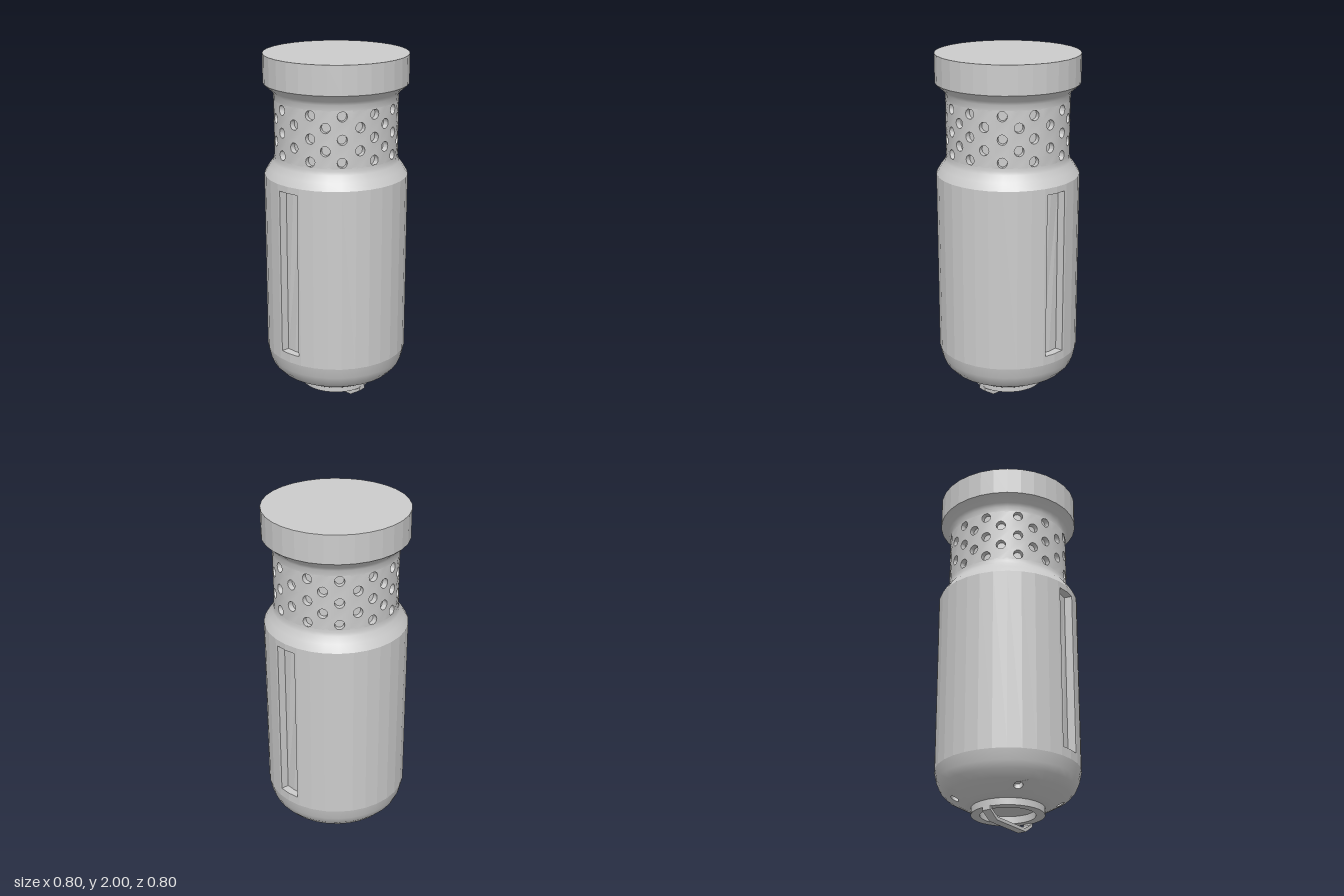
import * as THREE from 'three';
import { mergeGeometries, toCreasedNormals } from 'three/addons/utils/BufferGeometryUtils.js';

const SIDES = 32, STEP = (Math.PI * 2) / SIDES, DEG = Math.PI / 180;
const material = new THREE.MeshStandardMaterial({ color: 0xcccccc });
const V2 = (x, y) => new THREE.Vector2(x, y);

// Radius of a regular polygon with SIDES corners at angle a
const facet = (a) => {
  const t = ((a % STEP) + STEP) % STEP;
  return Math.cos(STEP / 2) / Math.cos(t - STEP / 2);
};

// Surface of revolution; a profile running upwards faces outwards
function lathe(profile, start = 0, count = SIDES) {
  const pts = profile.map(([r, y]) => V2(r, y));
  return new THREE.LatheGeometry(pts, count, start, count * STEP);
}

// Flat outline in (angle, height) with holes, bent round the axis
function wrap(outline, holes, place) {
  const shape = new THREE.Shape(outline);
  holes.forEach((h) => shape.holes.push(new THREE.Path(h)));
  const g = new THREE.ShapeGeometry(shape);
  const p = g.attributes.position;
  for (let i = 0; i < p.count; i++) {
    const v = place(p.getX(i), p.getY(i), 0);
    p.setXYZ(i, v.x, v.y, v.z);
  }
  return g;
}

// Side walls and floor of a pocket below a counter-clockwise outline
function pocket(outline, place) {
  const pos = [];
  const add = (...vs) => vs.forEach((v) => pos.push(v.x, v.y, v.z));
  outline.forEach((p, i) => {
    const q = outline[(i + 1) % outline.length];
    const a = place(p.x, p.y, 0), b = place(q.x, q.y, 0);
    const c = place(q.x, q.y, 1), d = place(p.x, p.y, 1);
    add(a, b, c, a, c, d);
  });
  THREE.ShapeUtils.triangulateShape(outline, []).forEach((f) =>
    add(...f.map((i) => place(outline[i].x, outline[i].y, 1))));
  const g = new THREE.BufferGeometry();
  g.setAttribute('position', new THREE.Float32BufferAttribute(pos, 3));
  return g;
}

const ellipse = (cx, cy, rx, ry, n = 12) => Array.from({ length: n }, (_, i) => {
  const t = (i / n) * Math.PI * 2;
  return V2(cx + rx * Math.cos(t), cy + ry * Math.sin(t));
});

const polar = (a, r, y) => new THREE.Vector3(r * Math.sin(a), y, r * Math.cos(a));

// Join the pieces of one part, with soft normals up to the crease angle
function part(name, pieces, crease) {
  const clean = pieces.map((g) => {
    const n = g.index ? g.toNonIndexed() : g;
    n.deleteAttribute('uv');
    n.deleteAttribute('normal');
    return n;
  });
  const mesh = new THREE.Mesh(toCreasedNormals(mergeGeometries(clean), crease), material);
  mesh.name = name;
  return mesh;
}

// Wall with a long shallow slot at front and back
function buildWall() {
  const R = 0.4, y0 = 0.3, y1 = 1.33, s0 = 0.352, s1 = 1.293, half = 0.158;
  const place = (a, y, inside) => polar(a, R * facet(a) - inside * 0.045, y);
  const pieces = [];
  for (const base of [0, Math.PI]) {
    pieces.push(lathe([[R, y0], [R, y1]], base + STEP, SIDES / 2 - 2));
    const rim = [[0, y0], [STEP, y0], [STEP, y1], [0, y1], [0, s1], [half, s1], [half, s0], [0, s0]];
    for (const side of [1, -1]) {
      pieces.push(wrap(rim.map(([a, y]) => V2(base + side * a, y)), [], place));
    }
    const slot = [[-half, s0], [0, s0], [half, s0], [half, s1], [0, s1], [-half, s1]];
    pieces.push(pocket(slot.map(([a, y]) => V2(base + a, y)), place));
  }
  return part('bodyWall', pieces, 0.15);
}

// Rounded bottom with foot ring and four drilled holes on the diagonals
function buildDome() {
  const lo = [0.235, 0.108], hi = [0.335, 0.162];
  const place = (a, y, inside) => {
    const t = (y - lo[1]) / (hi[1] - lo[1]);
    const r = (lo[0] + t * (hi[0] - lo[0])) * facet(a);
    return polar(a, r - inside * 0.016, y + inside * 0.03);
  };
  const pieces = [
    lathe([[0, 0.1], [0.15, 0.1], [0.15, 0.06], [0.2, 0.06], [0.2, 0.098], [0.222, 0.1], lo]),
    lathe([hi, [0.37, 0.2], [0.387, 0.24], [0.4, 0.3]]),
  ];
  for (let i = 0; i < 4; i++) {
    const a = (i + 0.5) * Math.PI / 2;
    pieces.push(lathe([lo, hi], a + STEP, 6));
    const cell = [V2(a - STEP, lo[1]), V2(a, lo[1]), V2(a + STEP, lo[1]),
      V2(a + STEP, hi[1]), V2(a, hi[1]), V2(a - STEP, hi[1])];
    const hole = ellipse(a, 0.137, 0.085, 0.012);
    pieces.push(wrap(cell, [hole], place), pocket(hole, place));
  }
  return part('roundedBottom', pieces, 0.5);
}

// Grip band: a grid of cells with staggered dimples
function buildNeck() {
  const R = 0.343, pitch = 0.0625, bottom = 1.47 - pitch / 2;
  const quarter = [0, 17, 31, 46, 62.5, 77, 90];
  const column = (k) => {
    const j = ((k % 12) + 12) % 12;
    return (Math.floor(k / 12) * 180 + (j <= 6 ? quarter[j] : 180 - quarter[12 - j])) * DEG;
  };
  const place = (a, y, inside) => polar(a, R - inside * 0.03, y);
  const pieces = [];
  for (let k = 0; k < 24; k++) {
    const c = column(k);
    const a0 = (column(k - 1) + c) / 2, a1 = (column(k + 1) + c) / 2;
    for (let row = 0; row < 5; row++) {
      const y0 = bottom + row * pitch, y1 = y0 + pitch;
      const cell = [V2(a0, y0), V2(c, y0), V2(a1, y0), V2(a1, y1), V2(c, y1), V2(a0, y1)];
      const holes = (k + row) % 2 ? [ellipse(c, (y0 + y1) / 2, 0.027 / R, 0.028)] : [];
      pieces.push(wrap(cell, holes, place));
      holes.forEach((h) => pieces.push(pocket(h, place)));
    }
  }
  return part('dimpledNeck', pieces, 0.5);
}

// Flat bail bent under the foot ring
function buildBail() {
  const right = [[0.135, 0], [0.2, 0.042], [0.2, 0.065], [0.185, 0.065], [0.185, 0.05], [0.128, 0.018]];
  const left = right.map(([x, y]) => [-x, y]).reverse();
  const shape = new THREE.Shape([...right, ...left].map(([x, y]) => V2(x, y)));
  const g = new THREE.ExtrudeGeometry(shape, { depth: 0.05, bevelEnabled: false });
  g.translate(0, 0, -0.025);
  return part('bottomBail', [g], 0.1);
}

export function createModel() {
  const group = new THREE.Group();
  group.name = 'canister';
  group.add(
    buildWall(),
    buildDome(),
    part('shoulder', [lathe([[0.4, 1.33], [0.375, 1.372], [0.35, 1.405], [0.344, 1.425], [0.343, 1.445]])], 0.5),
    buildNeck(),
    part('capUnderside', [lathe([[0.343, 1.745], [0.344, 1.78], [0.355, 1.8], [0.4, 1.84]])], 0.6),
    part('cap', [lathe([[0.4, 1.84], [0.4, 2], [0, 2]])], 0.15),
    buildBail(),
  );
  return group;
}
